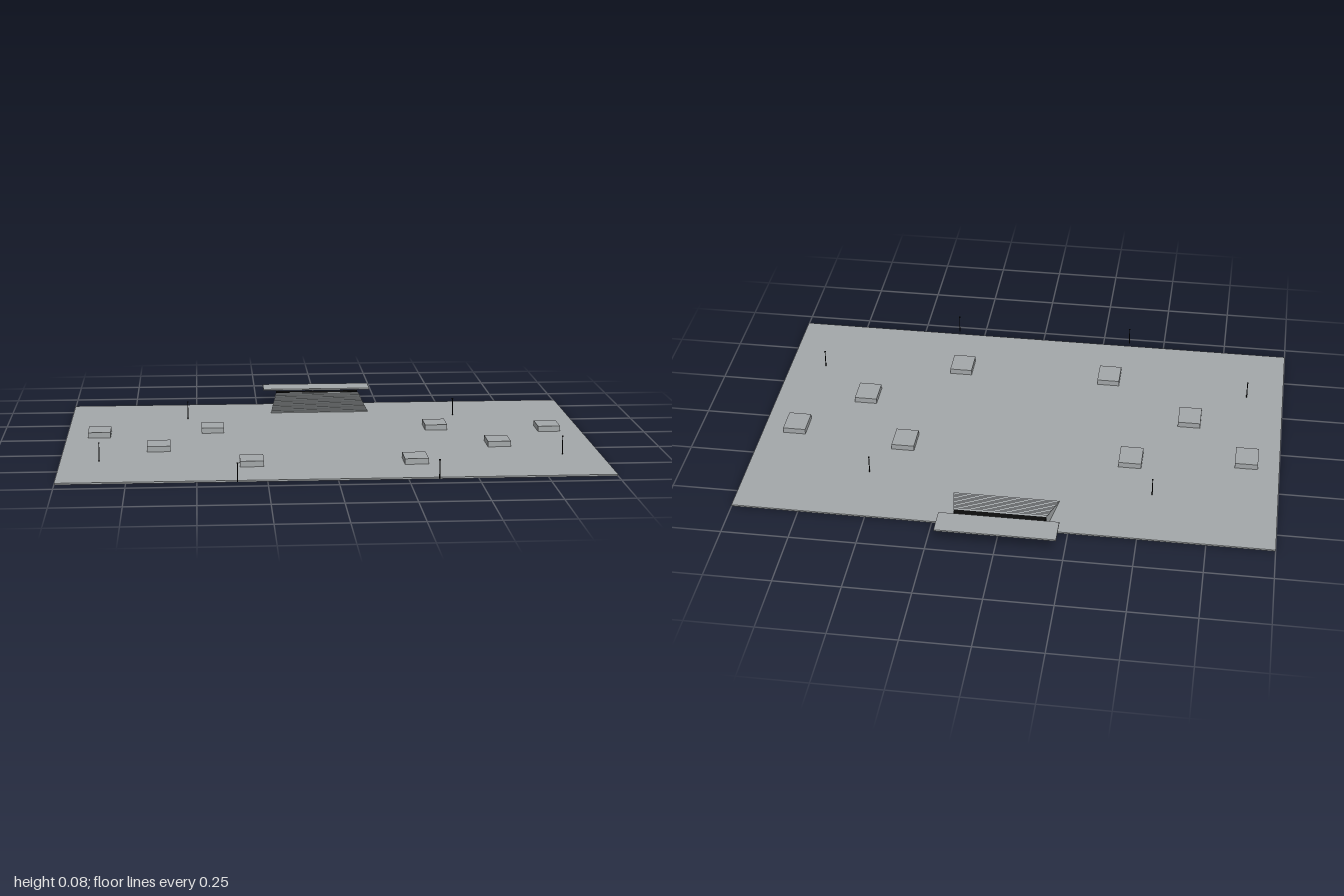
import * as THREE from 'three';

export function createModel() {
  const model = new THREE.Group();
  model.name = 'plaza';
  const concrete = new THREE.MeshStandardMaterial({ color: 0xa3a7a9 });
  concrete.name = 'concrete grey';
  const black = new THREE.MeshStandardMaterial({ color: 0x0c0c0c });
  black.name = 'metal black';

  const add = (parent, name, geometry, material, x, y, z) => {
    const mesh = new THREE.Mesh(geometry, material);
    mesh.name = name;
    mesh.position.set(x, y, z);
    parent.add(mesh);
    return mesh;
  };
  // Box given by its bottom centre
  const box = (parent, name, material, w, h, d, x, y, z) =>
    add(parent, name, new THREE.BoxGeometry(w, h, d), material, x, y + h / 2, z);

  // Paved ground slab
  const top = 0.006;
  box(model, 'groundSlab', concrete, 2, top, 1.285, 0, 0, 0.047);

  // Low blocks, mirrored left and right
  const blocks = [[0.875, -0.06], [0.437, -0.113], [0.642, 0.185], [0.3, 0.44]];
  for (const [x, z] of blocks)
    for (const s of [1, -1])
      box(model, 'lowBlock', concrete, 0.087, 0.021, 0.107, s * x, top, z);

  // Thin lamp posts with small heads
  const posts = [[0.535, -0.325], [0.857, 0.373], [0.357, 0.71]];
  for (const [x, z] of posts)
    for (const s of [1, -1]) {
      const lamp = new THREE.Group();
      lamp.name = 'lampPost';
      lamp.position.set(s * x, 0, z);
      add(lamp, 'post', new THREE.CylinderGeometry(0.0015, 0.002, 0.07, 8), black, 0, top + 0.035, 0);
      box(lamp, 'lampHead', black, 0.006, 0.003, 0.006, 0, 0.073, 0);
      model.add(lamp);
    }

  // Tapering staircase: stacked trapezoid slabs
  const stairs = new THREE.Group();
  stairs.name = 'stairs';
  model.add(stairs);
  const steps = 12, zFront = -0.415, zBack = -0.578, rise = 0.049 / steps;
  const halfWidth = z => THREE.MathUtils.mapLinear(z, zFront, zBack, 0.198, 0.17);
  for (let i = 0; i < steps; i++) {
    const z = THREE.MathUtils.lerp(zFront, zBack, i / steps);
    const a = halfWidth(z), b = halfWidth(zBack);
    const plan = new THREE.Shape([
      new THREE.Vector2(-a, -z), new THREE.Vector2(a, -z),
      new THREE.Vector2(b, -zBack), new THREE.Vector2(-b, -zBack),
    ].reverse());
    const geometry = new THREE.ExtrudeGeometry(plan, { depth: rise, bevelEnabled: false });
    geometry.rotateX(-Math.PI / 2);
    add(stairs, 'step', geometry, concrete, 0, top + i * rise, 0);
  }

  // Entrance behind the stairs: dark screen, pale back wall, end posts
  const entrance = new THREE.Group();
  entrance.name = 'entrance';
  model.add(entrance);
  box(entrance, 'darkScreen', black, 0.338, 0.05, 0.014, 0, top, -0.585);
  box(entrance, 'backWall', concrete, 0.33, 0.048, 0.014, 0, top, -0.599);
  box(entrance, 'wallCap', black, 0.332, 0.002, 0.018, 0, 0.054, -0.601);
  box(entrance, 'baseRail', black, 0.33, 0.005, 0.006, 0, top, -0.609);
  for (const s of [1, -1])
    box(entrance, 'endPost', black, 0.008, 0.052, 0.012, s * 0.165, top, -0.611);

  // Flat canopy
  box(model, 'canopy', concrete, 0.442, 0.006, 0.105, 0, 0.058, -0.664);

  return model;
}
